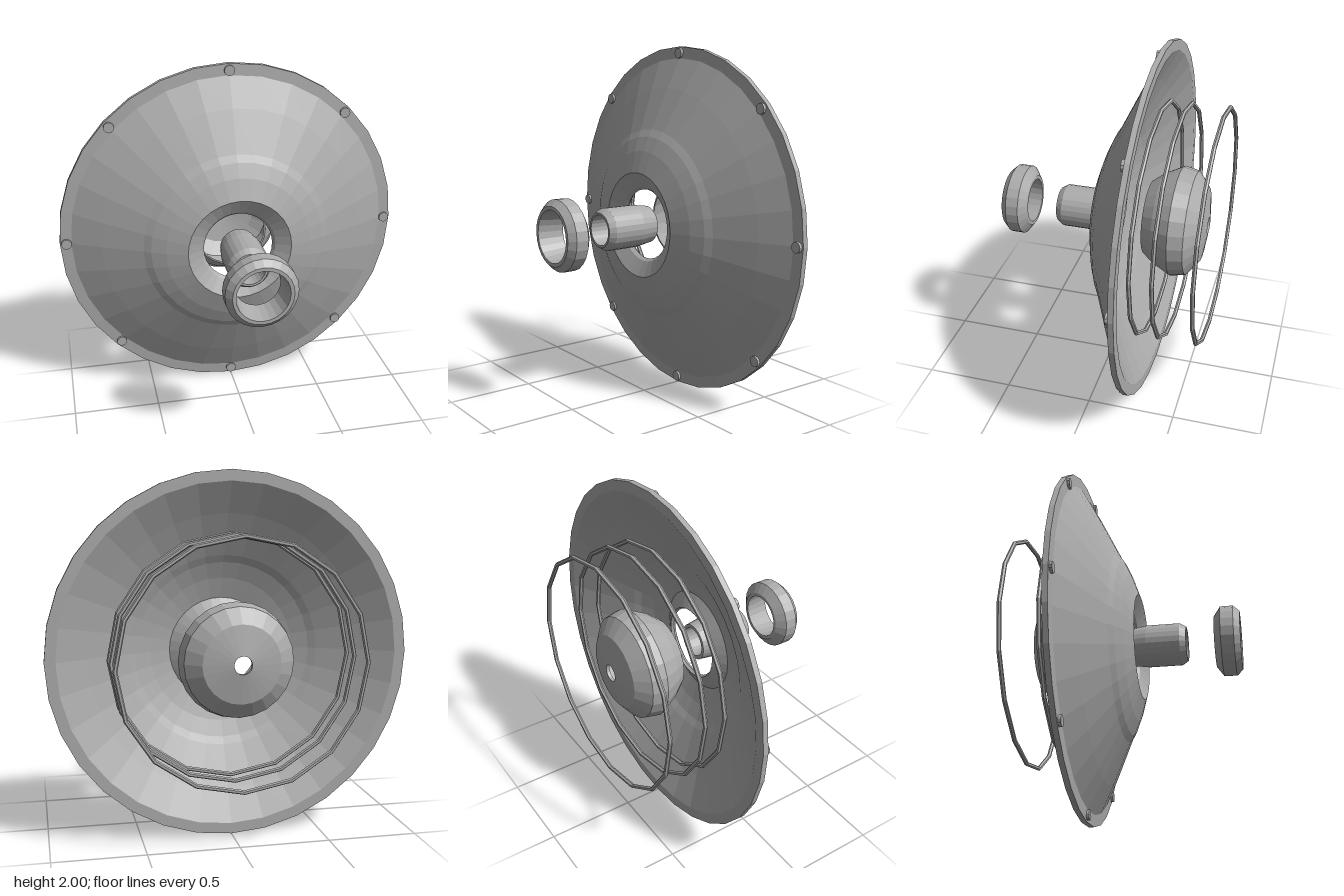
import * as THREE from 'three';

export function createModel() {
  const model = new THREE.Group();
  // every part shares one axis along z, at height 1
  const assembly = new THREE.Group();
  assembly.name = 'assembly';
  assembly.position.y = 1;
  model.add(assembly);

  const grey = new THREE.MeshStandardMaterial({ color: 0xacacac, flatShading: true });
  grey.name = 'plain grey';

  const add = (name, geometry) => {
    const mesh = new THREE.Mesh(geometry, grey);
    mesh.name = name;
    assembly.add(mesh);
    return mesh;
  };

  // closed profile of [radius, z], outer side listed from back to front
  const turned = (name, profile, sides) => {
    const points = [...profile, profile[0]].map(([r, z]) => new THREE.Vector2(r, z));
    return add(name, new THREE.LatheGeometry(points, sides).rotateX(Math.PI / 2));
  };

  // wide conical dish with flange, shallow bead and recessed centre hole
  turned('dish', [
    [1, -0.285], [1, -0.255], [0.935, -0.25], [0.77, -0.165], [0.54, -0.055],
    [0.5, -0.03], [0.42, 0.005], [0.3, 0.045], [0.215, 0.0], [0.2, -0.02],
    [0.21, -0.035], [0.295, 0.01], [0.41, -0.025], [0.5, -0.062], [0.54, -0.085],
    [0.77, -0.195], [0.94, -0.285],
  ], 32);

  // hollow rounded cap behind the dish
  turned('rearCap', [
    [0.21, -0.22], [0.2, -0.22], [0.285, -0.385], [0.272, -0.46], [0.195, -0.515],
    [0.048, -0.54], [0.048, -0.56], [0.21, -0.535], [0.295, -0.47], [0.312, -0.385], [0.26, -0.285],
  ], 24);

  // hollow stem through the centre
  turned('stem', [
    [0.105, -0.02], [0.12, 0.08], [0.12, 0.27], [0.098, 0.305], [0.085, 0.305], [0.085, -0.02],
  ], 24);

  // small bar across the stem bore
  add('innerBar', new THREE.BoxGeometry(0.07, 0.014, 0.06)).position.z = 0.1;

  // front collar
  turned('frontCollar', [
    [0.145, 0.465], [0.198, 0.503], [0.198, 0.575], [0.165, 0.61], [0.145, 0.61], [0.125, 0.465],
  ], 24);

  // wire hoops
  [-0.27, -0.39, -0.6].forEach((z, i) => {
    add(`wireHoop${i + 1}`, new THREE.TorusGeometry(0.662, 0.0125, 6, 16)).position.z = z;
  });

  // eight rim bolts
  for (let i = 0; i < 8; i++) {
    const a = i * Math.PI / 4;
    const bolt = add(`rimBolt${i + 1}`, new THREE.CylinderGeometry(0.03, 0.03, 0.04, 12).rotateX(Math.PI / 2));
    bolt.position.set(0.962 * Math.cos(a), 0.962 * Math.sin(a), -0.258);
  }

  return model;
}
